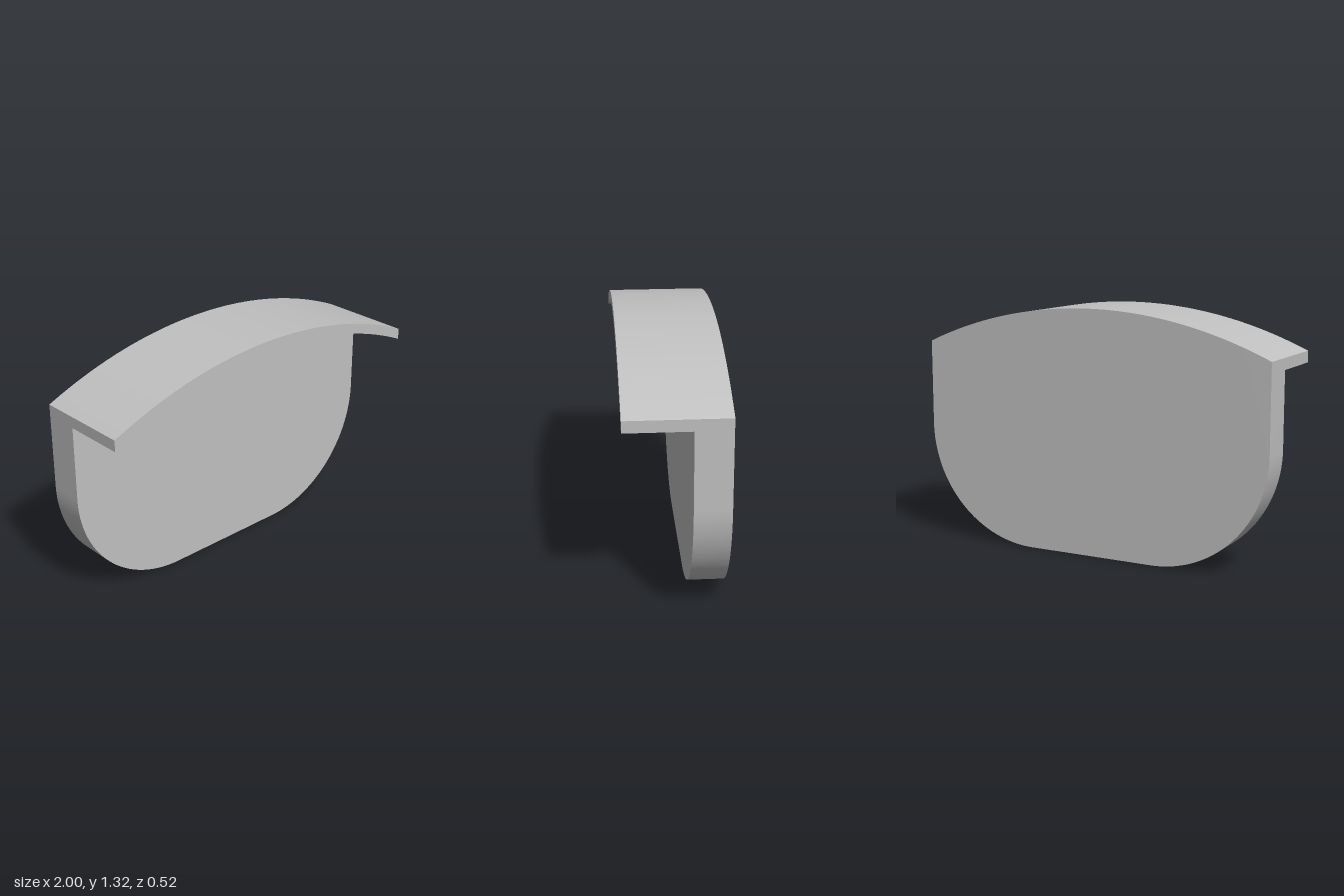
import * as THREE from 'three';
import { toCreasedNormals } from 'three/addons/utils/BufferGeometryUtils.js';

const BACK = -0.26, FACE = -0.075, FRONT = 0.26; // depth stations
const R = 2.433, TOP = 1.315, CY = TOP - R;      // crown arc
const LIP = 0.055;                               // brim thickness
const CORNER = 0.64;                             // lower corner radius

export function createModel() {
  const group = new THREE.Group();
  const grey = new THREE.MeshStandardMaterial({ color: 0xc0c0c0 });
  grey.name = 'plain grey';

  const addExtrusion = (name, shape, z0, z1) => {
    const geo = new THREE.ExtrudeGeometry(shape, { depth: z1 - z0, bevelEnabled: false, curveSegments: 40 });
    geo.translate(0, 0, z0);
    const mesh = new THREE.Mesh(toCreasedNormals(geo, 0.4), grey);
    mesh.name = name;
    group.add(mesh);
  };
  // angle at which an arc of radius r about (0, CY) reaches x = 1
  const endAngle = (r) => Math.acos(1 / r);
  const outer = endAngle(R), inner = endAngle(R - LIP);

  // upright panel: arched crown, straight sides, large rounded lower corners
  const panel = new THREE.Shape();
  panel.moveTo(-1 + CORNER, 0);
  panel.lineTo(1 - CORNER, 0);
  panel.absarc(1 - CORNER, CORNER, CORNER, -Math.PI / 2, 0, false);
  panel.absarc(0, CY, R, outer, Math.PI - outer, false);
  panel.absarc(-1 + CORNER, CORNER, CORNER, Math.PI, Math.PI * 1.5, false);
  addExtrusion('panel', panel, BACK, FACE);

  // thin curved brim projecting forward from the crown
  const brim = new THREE.Shape();
  brim.absarc(0, CY, R, outer, Math.PI - outer, false);
  brim.absarc(0, CY, R - LIP, Math.PI - inner, inner, true);
  addExtrusion('brim', brim, FACE, FRONT);

  return group;
}
